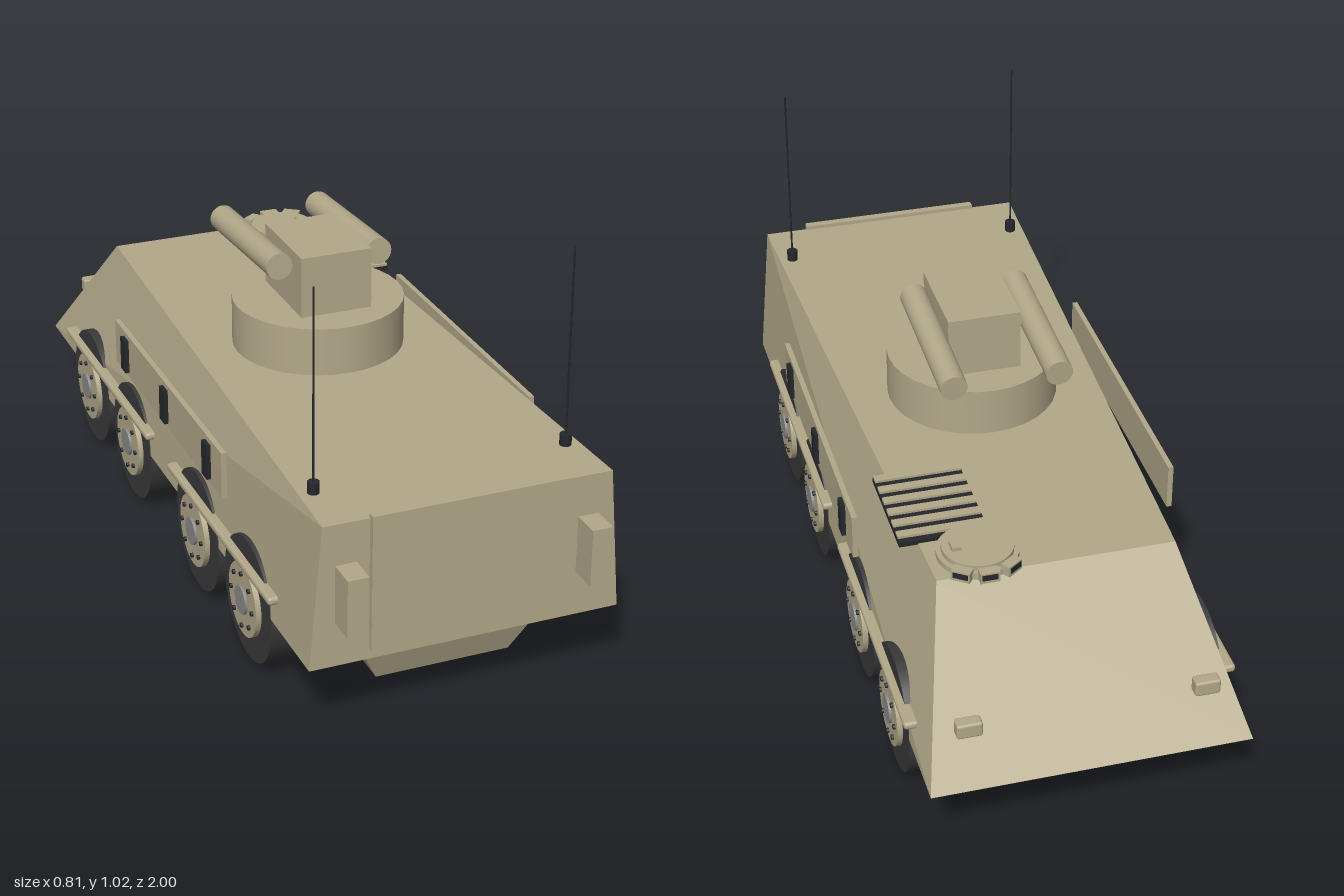
import * as THREE from 'three';
import { ConvexGeometry } from 'three/addons/geometries/ConvexGeometry.js';
import { RoundedBoxGeometry } from 'three/addons/geometries/RoundedBoxGeometry.js';

const paint = (color) => new THREE.MeshStandardMaterial({ color });
const tan = paint(0xb3a98a);
const dark = paint(0x3a3a3a);
const black = paint(0x25272b);
const grey = paint(0x8c8c8c);

export function createModel() {
  const model = new THREE.Group();
  model.name = 'armouredVehicle';

  const add = (name, geometry, material, x = 0, y = 0, z = 0, parent = model) => {
    const mesh = new THREE.Mesh(geometry, material);
    mesh.name = name;
    mesh.position.set(x, y, z);
    parent.add(mesh);
    return mesh;
  };
  const box = (name, w, h, d, material, x, y, z, parent) =>
    add(name, new THREE.BoxGeometry(w, h, d), material, x, y, z, parent);
  const drum = (name, r, h, sides, material, x, y, z, parent) =>
    add(name, new THREE.CylinderGeometry(r, r, h, sides), material, x, y, z, parent);

  // Hull blocks from corners [half width, y, z], mirrored across x
  const block = (name, corners) => {
    const points = corners.flatMap(([x, y, z]) =>
      [new THREE.Vector3(x, y, z), new THREE.Vector3(-x, y, z)]);
    add(name, new ConvexGeometry(points), tan);
  };
  block('upperHull', [
    [0.375, 0.18, 0.93], [0.345, 0.53, 0.93], [0.28, 0.53, -0.69], [0.375, 0.18, -1]]);
  block('lowerHull', [
    [0.235, 0.18, 0.86], [0.165, 0.045, 0.81], [0.165, 0.045, -0.75], [0.235, 0.18, -0.985]]);

  // Rear ramp
  box('rearRamp', 0.47, 0.33, 0.02, tan, 0, 0.375, 0.935);

  // Turret with twin launch tubes
  drum('turretRing', 0.21, 0.12, 32, tan, 0, 0.59, 0.05);
  box('turretBox', 0.18, 0.155, 0.24, tan, 0, 0.725, 0.05);

  for (const side of [-1, 1]) {
    const tube = drum('launchTube', 0.033, 0.395, 24, tan, side * 0.128, 0.759, -0.073);
    tube.rotation.x = Math.PI / 2 - 0.06;

    // Rear lamp boxes, front lights and antennas
    box('rearLampBox', 0.05, 0.14, 0.08, tan, side * 0.29, 0.36, 0.96);
    add('headlight', new RoundedBoxGeometry(0.06, 0.038, 0.033, 2, 0.006), tan,
      side * 0.275, 0.317, -0.945);
    drum('antennaBase', 0.014, 0.035, 12, black, side * 0.305, 0.54, 0.78);
    drum('antennaRod', 0.0025, 0.475, 8, black, side * 0.305, 0.778, 0.78);

    // Side armour panel with vision slots
    box('sidePanel', 0.013, 0.115, 0.79, tan, side * 0.39, 0.422, 0.05);
    for (const z of [0.355, 0.05, -0.255])
      box('visionSlot', 0.014, 0.088, 0.036, black, side * 0.4, 0.422, z);

    // Fender bars, one per pair of wheels
    for (const z of [0.38, -0.48])
      add('fenderBar', new RoundedBoxGeometry(0.035, 0.02, 0.7, 2, 0.008), tan,
        side * 0.375, 0.243, z);

    for (const z of [0.55, 0.205, -0.3, -0.65]) model.add(makeWheel(side, z));
  }

  // Wheel, its axle laid along x and its outer face turned outwards
  function makeWheel(side, z) {
    const wheel = new THREE.Group();
    wheel.name = 'wheel';
    wheel.position.set(side * 0.315, 0.152, z);
    wheel.rotation.z = -side * Math.PI / 2;
    drum('tyre', 0.152, 0.12, 40, dark, 0, 0, 0, wheel);
    drum('rim', 0.09, 0.016, 32, tan, 0, 0.065, 0, wheel);
    drum('hub', 0.035, 0.012, 20, grey, 0, 0.073, 0, wheel);
    for (let i = 0; i < 8; i++) {
      const a = i * Math.PI / 4;
      drum('bolt', 0.006, 0.012, 8, black, 0.068 * Math.cos(a), 0.073, 0.068 * Math.sin(a), wheel);
    }
    return wheel;
  }

  // Engine grille with slats
  box('grilleBase', 0.21, 0.012, 0.265, black, 0.225, 0.533, -0.413);
  for (let i = 0; i < 6; i++)
    box('grilleSlat', 0.208, 0.01, 0.023, tan, 0.225, 0.54, -0.518 + i * 0.045);

  // Driver hatch with handle and periscopes
  const hatch = new THREE.Group();
  hatch.name = 'driverHatch';
  hatch.position.set(0.165, 0.53, -0.615);
  model.add(hatch);
  drum('hatchRing', 0.095, 0.016, 32, tan, 0, 0.006, 0, hatch);
  drum('hatchLid', 0.083, 0.012, 32, tan, 0, 0.02, 0, hatch);
  box('hatchHandle', 0.022, 0.012, 0.03, tan, 0.052, 0.03, 0, hatch);
  for (const a of [-0.62, 0, 0.62]) {
    const scope = box('periscope', 0.045, 0.026, 0.025, tan,
      0.098 * Math.sin(a), 0.011, -0.098 * Math.cos(a), hatch);
    scope.rotation.y = -a;
    box('periscopeGlass', 0.036, 0.014, 0.004, black, 0, 0.002, -0.012, scope);
  }

  return model;
}
